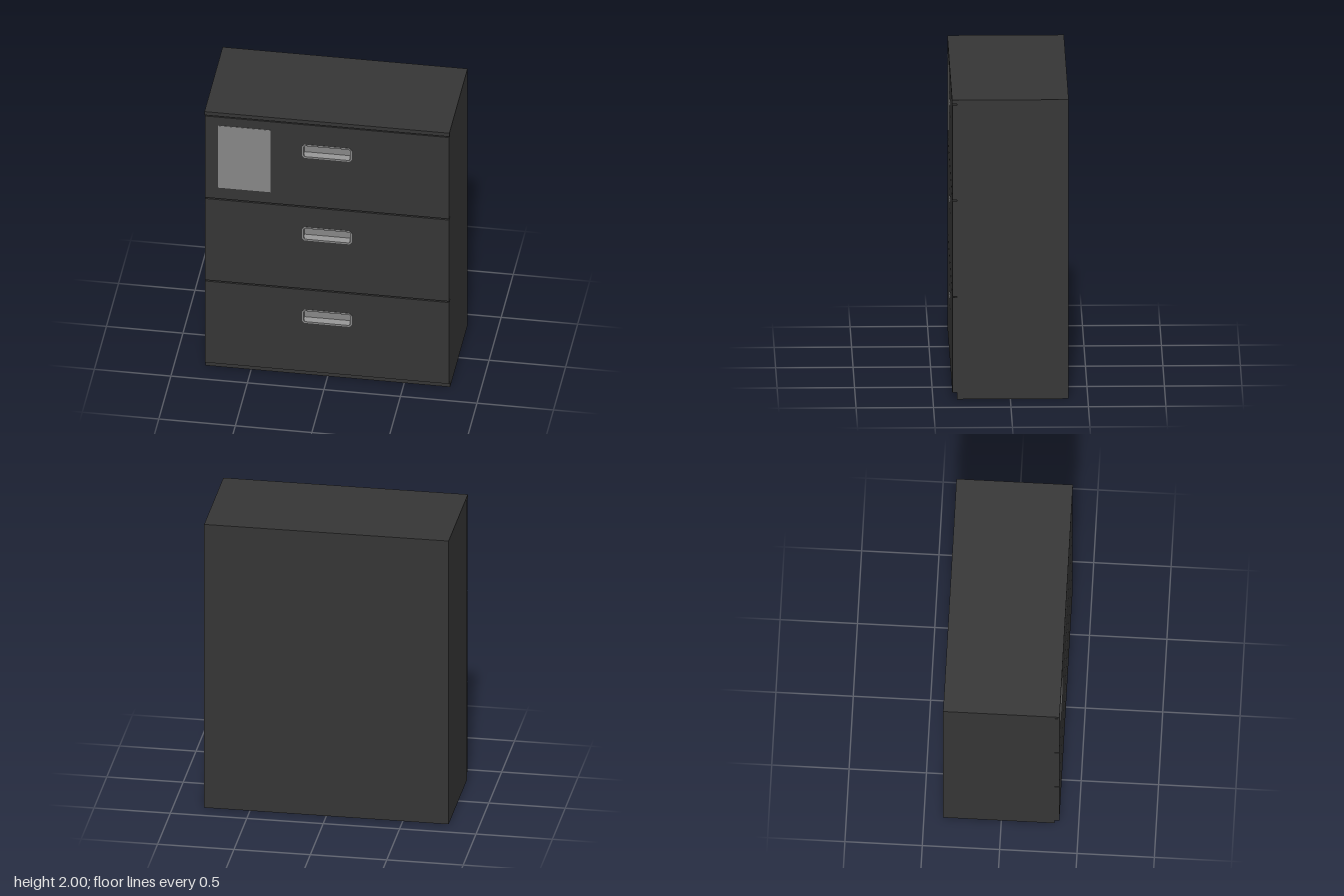
import * as THREE from 'three';

const dark = new THREE.MeshStandardMaterial({ color: 0x353535 });
dark.name = 'charcoal paint';
const grey = new THREE.MeshStandardMaterial({ color: 0x868686 });
grey.name = 'grey metal';

const BODY_FRONT = 0.343, FRONT = 0.375, BACK = -0.376;

// Box given by its limits
function box(name, x0, x1, y0, y1, z0, z1, mat) {
  const m = new THREE.Mesh(new THREE.BoxGeometry(x1 - x0, y1 - y0, z1 - z0), mat);
  m.position.set((x0 + x1) / 2, (y0 + y1) / 2, (z0 + z1) / 2);
  m.name = name;
  return m;
}

// Rectangle with cut corners, half width w, half height h, cut c
function cutRect(w, h, c, PathType = THREE.Path, y = 0) {
  const pts = [[-w + c, -h], [w - c, -h], [w, -h + c], [w, h - c],
    [w - c, h], [-w + c, h], [-w, h - c], [-w, -h + c]];
  return new PathType(pts.map(([px, py]) => new THREE.Vector2(px, py + y)));
}

function extrude(name, shape, z0, z1, mat) {
  const m = new THREE.Mesh(new THREE.ExtrudeGeometry(shape, { depth: z1 - z0, bevelEnabled: false }), mat);
  m.position.z = z0;
  m.name = name;
  return m;
}

// Recessed pull: rim, back plate and sloping floor
function makeHandle() {
  const g = new THREE.Group();
  g.name = 'recessedHandle';
  const rim = cutRect(0.163, 0.052, 0.016, THREE.Shape);
  rim.holes.push(cutRect(0.152, 0.041, 0.008));
  g.add(extrude('handleRim', rim, BODY_FRONT, 0.377, grey));
  g.add(box('handleBack', -0.155, 0.155, -0.045, 0.045, BODY_FRONT, BODY_FRONT + 0.003, grey));
  const wedge = new THREE.Shape([[0, 0], [0.028, 0], [0, 0.017]].map(p => new THREE.Vector2(...p)));
  const floor = extrude('handleFloor', wedge, -0.152, 0.152, grey);
  floor.geometry.translate(0, 0, -0.152);
  floor.rotation.y = -Math.PI / 2;
  floor.position.set(0, -0.041, BODY_FRONT + 0.003);
  g.add(floor);
  return g;
}

// Drawer front with an opening for its pull
function makeDrawer(y0, y1) {
  const g = new THREE.Group();
  g.name = 'drawer';
  const handleY = y1 - 0.205;
  const shape = new THREE.Shape([[-0.798, y0], [0.798, y0], [0.798, y1], [-0.798, y1]]
    .map(p => new THREE.Vector2(...p)));
  shape.holes.push(cutRect(0.163, 0.052, 0.016, THREE.Path, handleY));
  g.add(extrude('drawerFront', shape, BODY_FRONT, FRONT, dark));
  const handle = makeHandle();
  handle.position.y = handleY;
  g.add(handle);
  return g;
}

export function createModel() {
  const model = new THREE.Group();
  model.name = 'filingCabinet';

  // Cabinet shell and the lip above the drawers
  model.add(box('cabinetBody', -0.8, 0.8, 0, 2, BACK, BODY_FRONT, dark));
  model.add(box('topLip', -0.8, 0.8, 1.973, 2, BODY_FRONT, 0.376, dark));

  // Three equal drawers
  for (let i = 0; i < 3; i++) {
    const y0 = 0.045 + i * 0.643;
    model.add(makeDrawer(y0, y0 + 0.634));
  }

  // Plain plate on the top drawer
  model.add(box('labelPlate', -0.71, -0.37, 1.417, 1.9, FRONT, 0.377, grey));
  return model;
}
